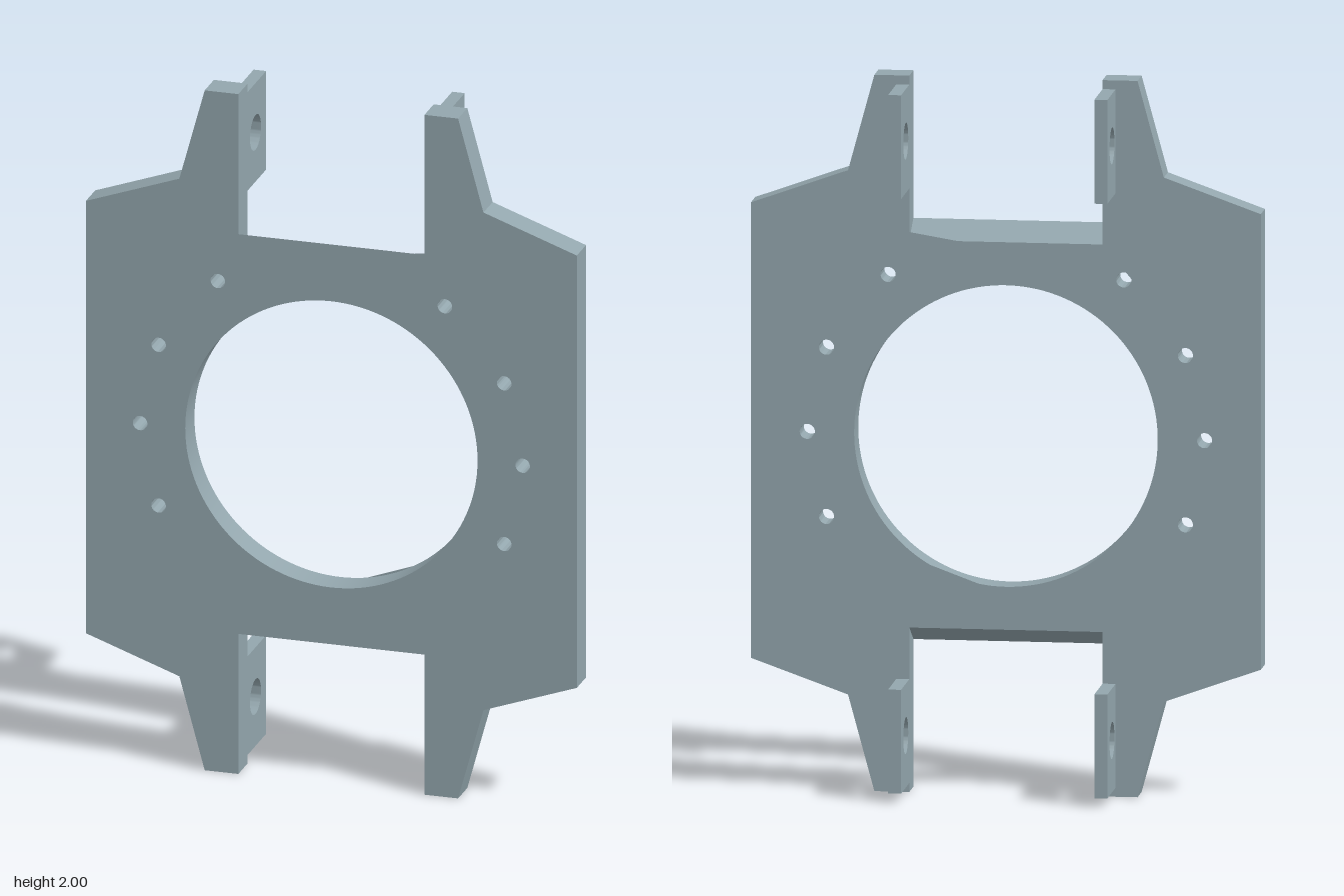
import * as THREE from 'three';
import { toCreasedNormals } from 'three/addons/utils/BufferGeometryUtils.js';

const material = new THREE.MeshStandardMaterial({ color: 0x93a6ad });

const circle = (x, y, r) => new THREE.Path().absarc(x, y, r, 0, Math.PI * 2, true);

const extrude = (shape, depth, curveSegments) =>
  new THREE.ExtrudeGeometry(shape, { depth, bevelEnabled: false, curveSegments });

function makeMesh(geometry, name) {
  const mesh = new THREE.Mesh(geometry, material);
  mesh.name = name;
  return mesh;
}

export function createModel() {
  const model = new THREE.Group();
  model.name = 'bracketPlate';
  const midY = 1;
  const slotX = 0.268;
  const slotY = 0.588;
  const plateBack = 0.043;
  const plateFront = 0.128;

  // Upper right quarter of the plate outline, relative to its centre
  const quarter = [[0.707, 0.636], [0.438, 0.732], [0.365, 1], [slotX, 1], [slotX, slotY]];
  const mirrored = [...quarter].reverse();
  const outline = [
    ...quarter,
    ...mirrored.map(([x, y]) => [-x, y]),
    ...quarter.map(([x, y]) => [-x, -y]),
    ...mirrored.map(([x, y]) => [x, -y]),
  ].map(([x, y]) => new THREE.Vector2(x, y));
  const plateShape = new THREE.Shape(outline);

  // Central opening and the ring of bolt holes on each side
  plateShape.holes.push(circle(0, 0, 0.421));
  for (const side of [1, -1]) {
    for (const degrees of [-25.4, 0, 25.4, 53.6]) {
      const a = THREE.MathUtils.degToRad(degrees);
      plateShape.holes.push(circle(side * 0.551 * Math.cos(a), 0.551 * Math.sin(a), 0.021));
    }
  }
  const plateGeometry = extrude(plateShape, plateFront - plateBack, 64);

  // Slope both slot floors: their back edges lie closer to the opening
  const points = plateGeometry.attributes.position;
  for (let i = 0; i < points.count; i++) {
    const y = points.getY(i);
    const onSlotFloor = Math.abs(points.getX(i)) < slotX + 0.001 && Math.abs(Math.abs(y) - slotY) < 0.001;
    if (onSlotFloor && points.getZ(i) < 0.001) points.setY(i, y - Math.sign(y) * 0.047);
  }
  const plate = makeMesh(toCreasedNormals(plateGeometry, 0.4), 'plate');
  plate.position.set(0, midY, plateBack);
  model.add(plate);

  // Lugs behind the arms, drawn in the z-y plane around the pin hole height
  const lugThickness = 0.036;
  const lugBack = -0.128;
  const lugShape = new THREE.Shape([
    new THREE.Vector2(lugBack, -0.145),
    new THREE.Vector2(plateBack, -0.145),
    new THREE.Vector2(plateBack, 0.145),
    new THREE.Vector2(lugBack, 0.145),
  ]);
  lugShape.holes.push(circle(-0.03, 0, 0.051));
  const lugGeometry = toCreasedNormals(extrude(lugShape, lugThickness, 32), 0.4);
  lugGeometry.rotateY(-Math.PI / 2);
  lugGeometry.translate(lugThickness / 2, 0, 0);

  for (const [sx, sideName] of [[1, 'left'], [-1, 'right']]) {
    for (const [sy, levelName] of [[1, 'Upper'], [-1, 'Lower']]) {
      const lug = makeMesh(lugGeometry, `${sideName}${levelName}Lug`);
      lug.position.set(sx * (slotX + lugThickness / 2), midY + sy * 0.83, 0);
      model.add(lug);
    }
  }
  return model;
}
